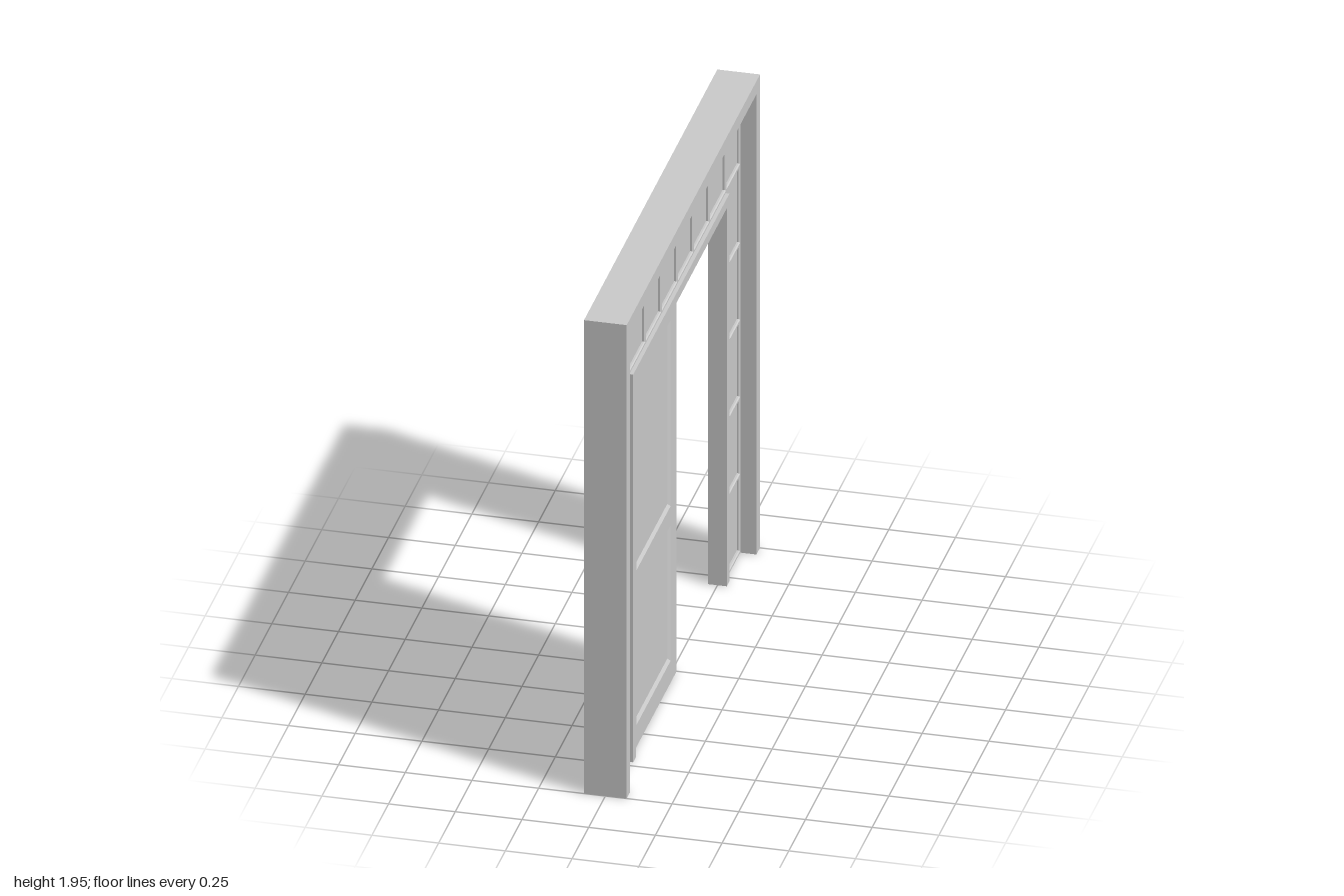
import * as THREE from 'three';

const mat = new THREE.MeshStandardMaterial({ color: 0xcccccc, flatShading: true });

// Extrude an outline drawn in (z, y), centred on x = 0
function slab(shape, thickness) {
  const g = new THREE.ExtrudeGeometry(shape, { depth: thickness, bevelEnabled: false });
  g.translate(0, 0, -thickness / 2);
  g.rotateY(-Math.PI / 2);
  return g;
}

function polygon(points) {
  return new THREE.Shape(points.map(([z, y]) => new THREE.Vector2(z, y)));
}

// Upside-down U: outer half width and height, inner half width and height
function arch(oz, oy, iz, iy) {
  return polygon([[-oz, 0], [-iz, 0], [-iz, iy], [iz, iy], [iz, 0], [oz, 0], [oz, oy], [-oz, oy]]);
}

// Glazing bar with chamfered faces, running along z or y
function bar(length, vertical) {
  const w = 0.008, d = 0.021, c = 0.004;
  const s = new THREE.Shape([
    [-d, -w + c], [-d + c, -w], [d - c, -w], [d, -w + c],
    [d, w - c], [d - c, w], [-d + c, w], [-d, w - c],
  ].map(([x, y]) => new THREE.Vector2(x, y)));
  const g = new THREE.ExtrudeGeometry(s, { depth: length, bevelEnabled: false });
  g.translate(0, 0, -length / 2);
  if (vertical) g.rotateX(Math.PI / 2);
  return g;
}

// Sunken door panel: sloping border and flat field, on the side given by sign
function sunkenPanel(z0, z1, y0, y1, sign, face, depth, slope) {
  const ring = (x, i) => [
    [x, y0 + i, z0 + i], [x, y0 + i, z1 - i], [x, y1 - i, z1 - i], [x, y1 - i, z0 + i],
  ];
  const o = ring(sign * face, 0), n = ring(sign * (face - depth), slope);
  const quads = [[n[0], n[3], n[2], n[1]]];
  for (let i = 0; i < 4; i++) {
    const j = (i + 1) % 4;
    quads.push([o[i], n[i], n[j], o[j]]);
  }
  const pos = [];
  for (const [a, b, c, d] of quads) {
    const tris = sign > 0 ? [a, b, c, a, c, d] : [a, c, b, a, d, c];
    pos.push(...tris.flat());
  }
  const g = new THREE.BufferGeometry();
  g.setAttribute('position', new THREE.Float32BufferAttribute(pos, 3));
  g.computeVertexNormals();
  return g;
}

export function createModel() {
  const model = new THREE.Group();
  const add = (name, geometry, parent = model, x = 0, y = 0, z = 0) => {
    const m = new THREE.Mesh(geometry, mat);
    m.name = name;
    m.position.set(x, y, z);
    parent.add(m);
  };

  // Surround, door casing and thin panes between them
  add('outerFrame', slab(arch(1, 1.95, 0.947, 1.896), 0.16));
  add('doorCasing', slab(arch(0.722, 1.597, 0.682, 1.557), 0.07));
  add('panes', slab(arch(0.947, 1.896, 0.722, 1.597), 0.02));

  // Glazing bars
  const bars = new THREE.Group();
  bars.name = 'glazingBars';
  model.add(bars);
  const top = 1.888, head = 1.602, outer = 0.941, inner = 0.728;
  for (const s of [-1, 1]) {
    add('outerUpright', bar(top, true), bars, 0, top / 2, s * outer);
    add('innerUpright', bar(top, true), bars, 0, top / 2, s * inner);
    for (let i = 0; i < 5; i++) {
      add('sideBar', bar(outer - inner, false), bars, 0, 0.008 + i * 0.3175, s * (outer + inner) / 2);
    }
  }
  add('topRail', bar(2 * outer, false), bars, 0, top, 0);
  add('headRail', bar(2 * outer, false), bars, 0, head, 0);
  for (let i = -2; i <= 2; i++) {
    add('transomBar', bar(top - head, true), bars, 0, (top + head) / 2, i * 0.24);
  }

  // Door leaf with two sunken panels on each side
  const door = new THREE.Group();
  door.name = 'door';
  model.add(door);
  const half = 0.0175;
  const panels = [[0.09, 0.6, 0.09, 0.648], [0.09, 0.6, 0.727, 1.493]];
  const leaf = polygon([[0, 0], [0.684, 0], [0.684, 1.558], [0, 1.558]]);
  for (const [z0, z1, y0, y1] of panels) {
    leaf.holes.push(new THREE.Path([[z0, y0], [z0, y1], [z1, y1], [z1, y0]]
      .map(([z, y]) => new THREE.Vector2(z, y))));
    for (const s of [-1, 1]) {
      add('doorPanel', sunkenPanel(z0, z1, y0, y1, s, half, 0.009, 0.015), door);
    }
  }
  add('doorLeaf', slab(leaf, 2 * half), door);

  return model;
}
